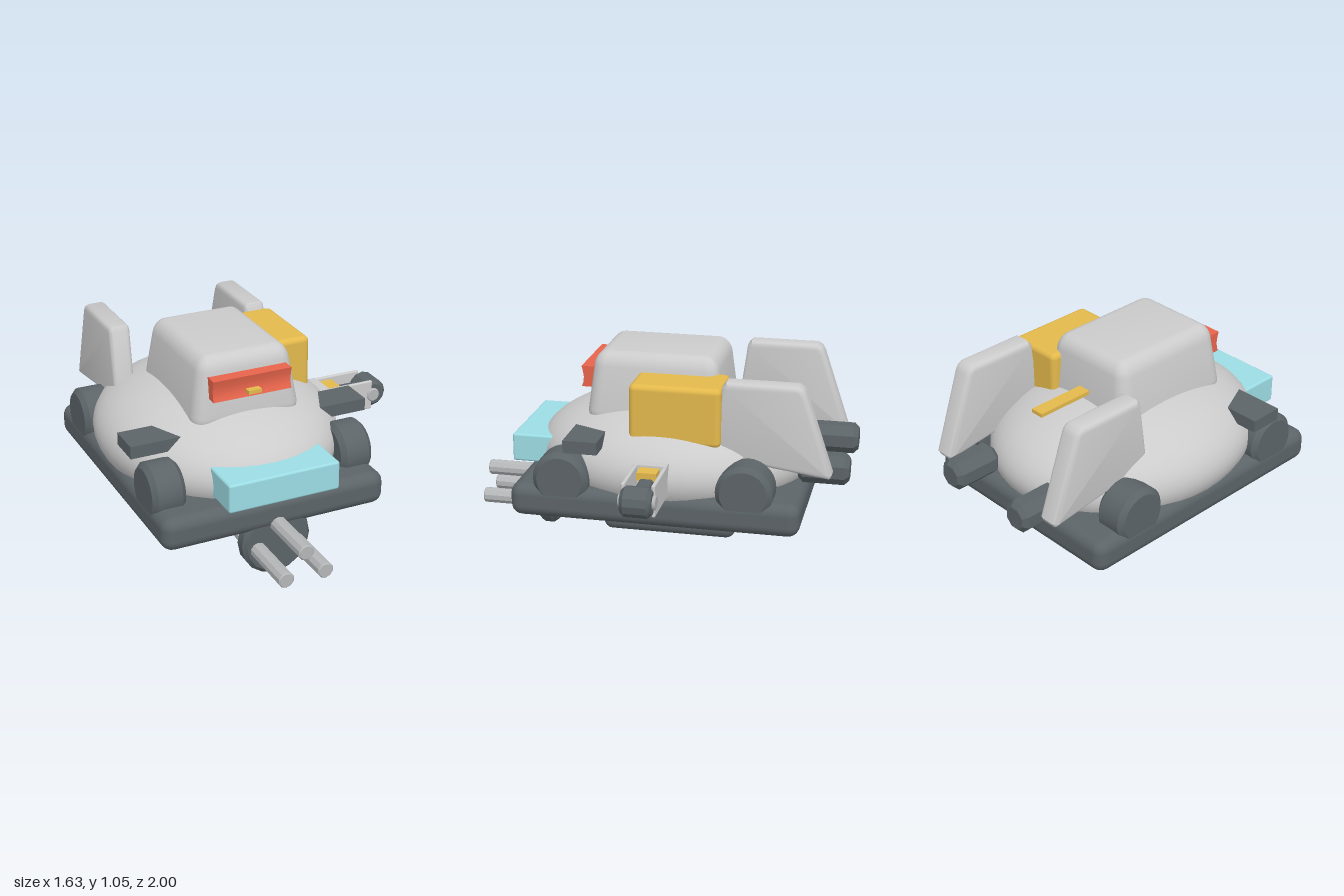
import * as THREE from 'three';
import { RoundedBoxGeometry } from 'three/addons/geometries/RoundedBoxGeometry.js';
import { toCreasedNormals } from 'three/addons/utils/BufferGeometryUtils.js';

const mat = (color) => new THREE.MeshStandardMaterial({ color });

export function createModel() {
  const grey = mat(0xcccccc), dark = mat(0x5c6468), steel = mat(0xb4b6b8);
  const yellow = mat(0xe3b94c), blue = mat(0x9cdce4), red = mat(0xe8654c);

  // Everything hangs on the vehicle's own centre line; the arm makes it lopsided
  const car = new THREE.Group();
  car.name = 'vehicle';
  car.position.x = -0.175;

  const add = (name, geometry, material, x = 0, y = 0, z = 0, parent = car) => {
    const mesh = new THREE.Mesh(geometry, material);
    mesh.name = name;
    mesh.position.set(x, y, z);
    parent.add(mesh);
    return mesh;
  };
  // Box given by its limits, with optional rounded edges
  const box = (name, material, [x0, x1], [y0, y1], [z0, z1], r = 0, parent = car) => {
    const s = [x1 - x0, y1 - y0, z1 - z0];
    const g = r ? new RoundedBoxGeometry(...s, 3, r) : new THREE.BoxGeometry(...s);
    return add(name, g, material, (x0 + x1) / 2, (y0 + y1) / 2, (z0 + z1) / 2, parent);
  };
  // Cylinder with chamfered rims, lying along 'x' or 'z'
  const drum = (r, length, chamfer, sides, axis) => {
    const h = length / 2;
    const profile = [[0, -h], [r - chamfer, -h], [r, -h + chamfer], [r, h - chamfer], [r - chamfer, h], [0, h]];
    const g = new THREE.LatheGeometry(profile.map((p) => new THREE.Vector2(...p)), sides);
    if (axis === 'x') g.rotateZ(-Math.PI / 2);
    else g.rotateX(Math.PI / 2);
    return toCreasedNormals(g, 0.5);
  };
  // Move vertices by a rule
  const warp = (g, rule) => {
    const p = g.attributes.position, v = new THREE.Vector3();
    for (let i = 0; i < p.count; i++) {
      rule(v.fromBufferAttribute(p, i));
      p.setXYZ(i, v.x, v.y, v.z);
    }
    g.computeVertexNormals();
    return g;
  };
  // Side profile in (z, y), extruded across x
  const sideExtrude = (points, width, bevel) => {
    const shape = new THREE.Shape(points.map(([z, y]) => new THREE.Vector2(-z, y)));
    const g = new THREE.ExtrudeGeometry(shape, {
      depth: width - 2 * bevel, bevelEnabled: bevel > 0,
      bevelSize: bevel, bevelThickness: bevel, bevelOffset: -bevel, bevelSegments: 3,
    });
    g.translate(0, 0, -width / 2 + bevel);
    g.rotateY(Math.PI / 2);
    return toCreasedNormals(g, 0.6);
  };

  // Hull and base
  const hull = new THREE.SphereGeometry(1, 48, 32);
  hull.scale(0.62, 0.315, 0.73);
  add('hull', hull, grey, 0, 0.505, -0.055);
  box('basePlate', dark, [-0.6, 0.6], [0.26, 0.435], [-0.79, 0.7], 0.06);
  box('frontBumper', blue, [-0.295, 0.295], [0.45, 0.6], [0.5, 0.77], 0.012);

  // Cabin, narrowing towards the roof
  const cabin = warp(new RoundedBoxGeometry(0.6, 0.38, 0.724, 4, 0.075), (v) => {
    const t = (v.y + 0.19) / 0.38;
    v.x *= 1 - 0.2 * t;
    v.z *= 1 - 0.12 * t;
  });
  add('cabin', toCreasedNormals(cabin, 0.6), grey, 0, 0.87, 0.015);

  // Visor with a hollow front, and its lamp
  const visor = [[0.31, 0.97], [0.41, 0.97], [0.402, 0.94], [0.398, 0.91], [0.402, 0.88], [0.41, 0.86], [0.33, 0.86]];
  add('visor', sideExtrude(visor, 0.42, 0), red);
  box('visorLamp', yellow, [-0.035, 0.035], [0.88, 0.9], [0.38, 0.435]);

  // Roof cargo and rear bar
  box('cargoBox', yellow, [0.18, 0.475], [0.66, 0.97], [-0.37, 0.1], 0.03);
  box('rearBar', yellow, [-0.035, 0.035], [0.83, 0.85], [-0.64, -0.28]);

  // Paired parts
  const fin = sideExtrude([
    [-0.39, 1], [-0.745, 1], [-0.77, 0.985], [-0.785, 0.96],
    [-0.925, 0.55], [-0.915, 0.53], [-0.32, 0.61], [-0.37, 0.975],
  ], 0.115, 0.025);
  const wheel = drum(0.145, 0.175, 0.025, 28, 'x');
  const exhaust = drum(0.083, 0.26, 0.025, 8, 'z');
  exhaust.rotateZ(Math.PI / 8);
  for (const s of [1, -1]) {
    const side = s > 0 ? 'left' : 'right';
    add(side + 'Fin', fin, grey, s * 0.387, 0, 0);
    add(side + 'Exhaust', exhaust, dark, s * 0.24, 0.525, -0.87);
    add(side + 'FrontWheel', wheel, dark, s * 0.51, 0.475, 0.43);
    add(side + 'RearWheel', wheel, dark, s * 0.51, 0.475, -0.51);
    // Winglet: inner end slanted in plan and in elevation
    const winglet = warp(new THREE.BoxGeometry(0.26, 0.065, 0.175), (v) => {
      if (v.x * s < 0) v.x += s * ((v.y < 0 ? 0.07 : 0) + (v.z < 0 ? 0.08 : 0));
    });
    add(side + 'Winglet', winglet, dark, s * 0.51, 0.677, 0.308);
  }

  // Gun under the nose
  const gun = new THREE.Group();
  gun.name = 'gun';
  car.add(gun);
  box('gunHousing', dark, [-0.19, 0.19], [0.05, 0.27], [-0.4, 0.315], 0.05, gun);
  add('gunDisc', drum(0.185, 0.09, 0.02, 16, 'z'), dark, 0, 0.19, 0.645, gun);
  for (const [x, y] of [[-0.105, 0.163], [0.105, 0.163], [0, 0.288]])
    add('barrel', drum(0.042, 0.72, 0.006, 10, 'z'), steel, x, y, 0.64, gun);

  // Folding arm on the left side
  const arm = new THREE.Group();
  arm.name = 'arm';
  arm.position.set(0.175, 0, -0.05);
  car.add(arm);
  box('armMount', grey, [0.36, 0.46], [0.445, 0.61], [-0.085, 0.085], 0, arm);
  for (const s of [1, -1]) {
    box('armPlate', grey, [0.4, 0.72], [0.445, 0.61], [s * 0.075 - 0.01, s * 0.075 + 0.01], 0.008, arm);
    add('armPin', drum(0.037, 0.03, 0.005, 16, 'z'), steel, 0.725, 0.527, s * 0.078, arm);
  }
  box('armFoot', steel, [0.36, 0.53], [0.42, 0.44], [-0.015, 0.015], 0, arm);
  box('armBlock', yellow, [0.46, 0.54], [0.56, 0.6], [-0.05, 0.05], 0, arm);
  box('armPiston', dark, [0.45, 0.7], [0.49, 0.57], [-0.035, 0.035], 0.015, arm);
  add('armHead', drum(0.077, 0.155, 0.02, 12, 'z'), dark, 0.735, 0.527, 0, arm);

  const model = new THREE.Group();
  model.name = 'model';
  model.add(car);
  return model;
}
